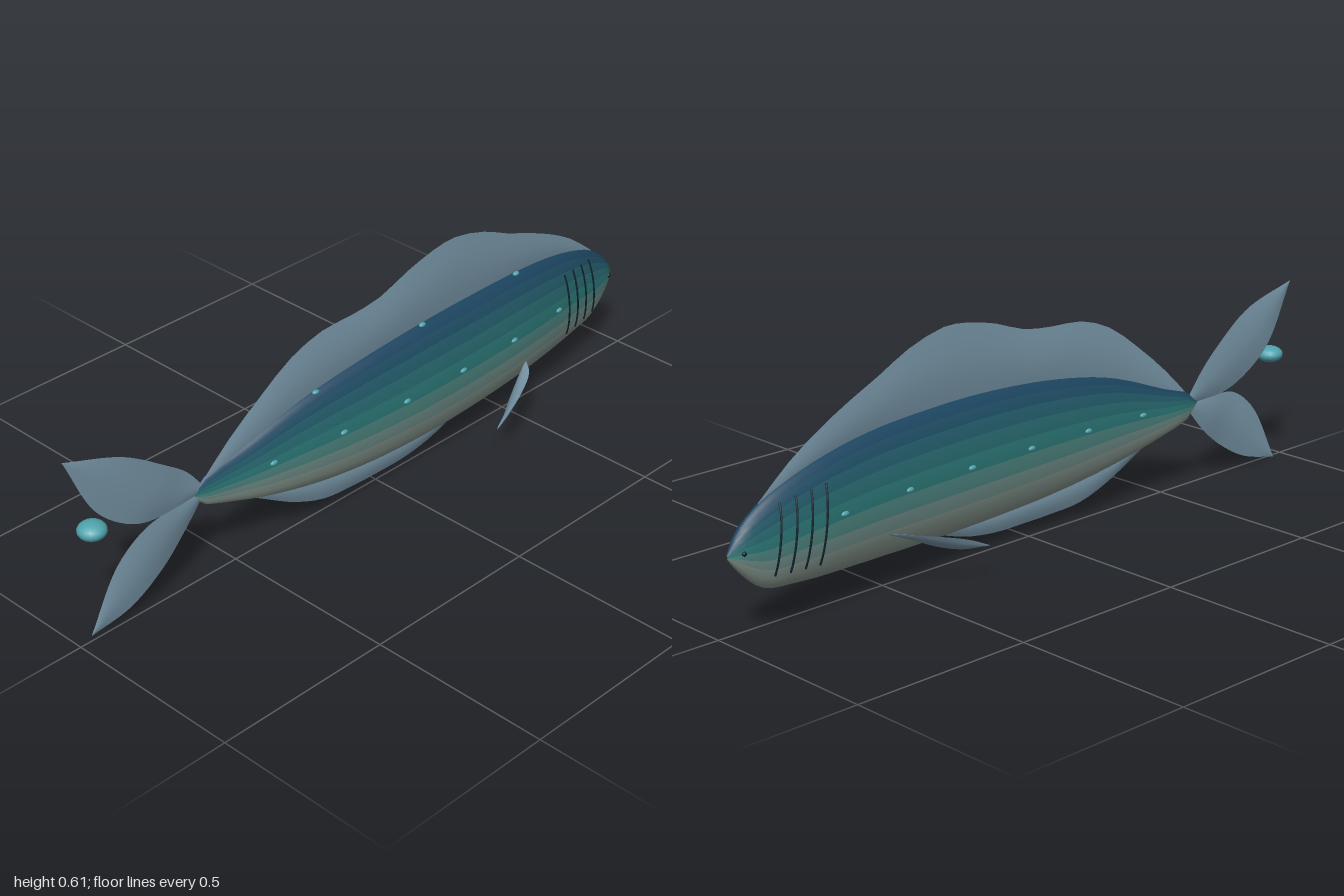
import * as THREE from 'three';
import { mergeGeometries } from 'three/addons/utils/BufferGeometryUtils.js';

const mat = (color, side = THREE.FrontSide) => new THREE.MeshStandardMaterial({ color, side });

// Smooth function of z from rows [z, value, value, ...]
function profile(rows) {
  const n = rows[0].length - 1;
  const spline = new THREE.CubicInterpolant(
    new Float32Array(rows.map((r) => r[0])), new Float32Array(rows.flatMap((r) => r.slice(1))), n);
  return (z) => Array.from(spline.evaluate(z));
}

// Body sections: z, half width, top, bottom
const section = profile([
  [-1, 0.003, 0.224, 0.216], [-0.97, 0.022, 0.268, 0.178], [-0.9, 0.037, 0.322, 0.118], [-0.8, 0.05, 0.364, 0.1],
  [-0.6, 0.064, 0.405, 0.087], [-0.3, 0.068, 0.422, 0.079], [-0.1, 0.066, 0.42, 0.082], [0.1, 0.057, 0.405, 0.094],
  [0.3, 0.042, 0.37, 0.122], [0.5, 0.021, 0.3, 0.172], [0.6, 0.009, 0.262, 0.212], [0.62, 0.001, 0.24, 0.236],
]);

// Sideways swimming bend of the spine
const bend = profile([
  [-1, -0.045], [-0.8, -0.03], [-0.5, -0.002], [-0.2, 0.013], [0, 0.016],
  [0.2, 0.012], [0.4, 0], [0.6, -0.018], [0.78, -0.004], [1, -0.018],
]);
const spineX = (z) => bend(z)[0];

// Point on the flank at a given z and height
function skin(z, y, side) {
  const [w, top, bottom] = section(z);
  const k = THREE.MathUtils.clamp((2 * y - top - bottom) / (top - bottom), -1, 1);
  return new THREE.Vector3(spineX(z) + side * w * Math.sqrt(1 - k * k), y, z);
}

// Grid surface from a function point(i, j)
function grid(nu, nv, point) {
  const pos = [], index = [];
  for (let i = 0; i <= nu; i++) for (let j = 0; j <= nv; j++) pos.push(...point(i, j));
  for (let i = 0; i < nu; i++) for (let j = 0; j < nv; j++) {
    const a = i * (nv + 1) + j, b = a + nv + 1;
    index.push(a, b, a + 1, b, b + 1, a + 1);
  }
  const geo = new THREE.BufferGeometry();
  geo.setAttribute('position', new THREE.Float32BufferAttribute(pos, 3));
  geo.setIndex(index);
  geo.computeVertexNormals();
  return geo;
}

// Thin lens-shaped blade between two edge curves
function blade(name, edgeA, edgeB, thickness, axis, material) {
  const a = new THREE.CatmullRomCurve3(edgeA), b = new THREE.CatmullRomCurve3(edgeB);
  const sheets = [1, -1].map((side) => grid(30, 8, (i, j) => {
    const u = i / 30, v = j / 8;
    const p = a.getPoint(u).lerp(b.getPoint(u), v);
    return p.addScaledVector(axis, side * thickness * Math.sin(Math.PI * v) * Math.sin(Math.PI * u) ** 0.5);
  }));
  const mesh = new THREE.Mesh(mergeGeometries(sheets), material);
  mesh.name = name;
  return mesh;
}

export function createModel() {
  const model = new THREE.Group();
  model.name = 'fish';
  const finMat = mat(0x7896a8, THREE.DoubleSide);
  const glowMat = mat(0x4fa3ad);
  const darkMat = mat(0x10202a);
  const xAxis = new THREE.Vector3(1, 0, 0);
  const V = (x, y, z) => new THREE.Vector3(x, y, z);

  // Body: one smooth skin, split lengthwise into bands from dark back to pale belly
  const sides = 24, rings = 48;
  const skinGeo = grid(rings, sides, (i, j) => {
    const z = -1 + 1.62 * (i / rings) ** 1.3;
    const [w, top, bottom] = section(z);
    const a = (j / sides) * Math.PI * 2;
    return [spineX(z) + w * Math.sin(a), (top + bottom) / 2 + ((top - bottom) / 2) * Math.cos(a), z];
  });
  const body = new THREE.Group();
  body.name = 'body';
  const back = new THREE.Color(0x1c4560), flank = new THREE.Color(0x2f7f7c), belly = new THREE.Color(0x8d9c94);
  const all = Array.from(skinGeo.index.array);
  for (let band = 0; band < sides / 2; band++) {
    const index = [];
    for (let i = 0; i < rings; i++) for (const j of [band, sides - 1 - band]) {
      const start = (i * sides + j) * 6;
      index.push(...all.slice(start, start + 6));
    }
    const geo = new THREE.BufferGeometry();
    geo.setAttribute('position', skinGeo.attributes.position);
    geo.setAttribute('normal', skinGeo.attributes.normal);
    geo.setIndex(index);
    const h = Math.cos(((band + 0.5) / (sides / 2)) * Math.PI);
    const color = h > 0 ? flank.clone().lerp(back, Math.min(1, h * 1.15)) : flank.clone().lerp(belly, Math.min(1, -h * 1.5));
    const mesh = new THREE.Mesh(geo, mat(color));
    mesh.name = 'bodyBand';
    body.add(mesh);
  }
  model.add(body);

  // Long fins along the back and belly, rooted inside the body
  const ridge = (name, outline, baseY) => {
    const outer = outline.map(([z, y]) => V(spineX(z), y, z));
    const inner = outline.map(([z]) => V(spineX(z), baseY(section(z)), z));
    model.add(blade(name, outer, inner, 0.009, xAxis, finMat));
  };
  ridge('dorsalFin', [
    [0.59, 0.26], [0.5, 0.35], [0.4, 0.435], [0.3, 0.505], [0.2, 0.54], [0.1, 0.545], [0, 0.556], [-0.1, 0.59],
    [-0.2, 0.612], [-0.28, 0.616], [-0.4, 0.585], [-0.5, 0.54], [-0.6, 0.5], [-0.7, 0.455], [-0.8, 0.4], [-0.9, 0.325],
  ], ([, top]) => top - 0.03);
  ridge('analFin', [
    [0.48, 0.18], [0.4, 0.135], [0.3, 0.08], [0.2, 0.045], [0.1, 0.037], [0, 0.035],
    [-0.1, 0.036], [-0.2, 0.05], [-0.3, 0.08], [-0.37, 0.1],
  ], ([, , bottom]) => bottom + 0.03);

  // Forked tail
  const lobe = (name, upper, lower) => {
    const edge = (pts) => pts.map(([z, y]) => V(spineX(z), y, z));
    model.add(blade(name, edge(upper), edge(lower), 0.007, xAxis, finMat));
  };
  lobe('upperTailLobe',
    [[0.575, 0.245], [0.63, 0.315], [0.71, 0.378], [0.835, 0.46], [1, 0.515]],
    [[0.575, 0.24], [0.7, 0.236], [0.81, 0.26], [0.915, 0.34], [1, 0.515]]);
  lobe('lowerTailLobe',
    [[0.575, 0.24], [0.7, 0.241], [0.79, 0.228], [0.87, 0.165], [0.955, 0.003]],
    [[0.575, 0.235], [0.65, 0.152], [0.73, 0.09], [0.835, 0.032], [0.955, 0.003]]);

  // Paired fins sweeping out and back
  const upperEdge = [[0.055, 0.16, -0.53], [0.1, 0.158, -0.49], [0.137, 0.145, -0.42], [0.158, 0.125, -0.35], [0.165, 0.098, -0.29]];
  const lowerEdge = [[0.055, 0.155, -0.52], [0.075, 0.135, -0.47], [0.1, 0.108, -0.41], [0.132, 0.094, -0.35], [0.165, 0.098, -0.29]];
  for (const s of [1, -1]) {
    const edge = (pts) => pts.map(([x, y, z]) => V(s * x, y, z));
    model.add(blade(s > 0 ? 'leftPectoralFin' : 'rightPectoralFin', edge(upperEdge), edge(lowerEdge),
      0.006, V(s * 0.68, -0.62, -0.4).normalize(), finMat));
  }

  const bead = (name, p, rx, ry, rz, material) => {
    const mesh = new THREE.Mesh(new THREE.SphereGeometry(1, 16, 12), material);
    mesh.name = name;
    mesh.position.copy(p);
    mesh.scale.set(rx, ry, rz);
    model.add(mesh);
  };

  // Gill slits, eyes and rows of light spots on both flanks
  for (const s of [1, -1]) {
    for (let k = 0; k < 4; k++) {
      const pts = [];
      for (let t = 0; t <= 8; t++) {
        const f = t / 8;
        pts.push(skin(-0.72 - 0.045 * k - 0.025 * f, 0.338 - 0.005 * k - (0.198 - 0.008 * k) * f, s));
      }
      const slit = new THREE.Mesh(new THREE.TubeGeometry(new THREE.CatmullRomCurve3(pts), 24, 0.003, 6), darkMat);
      slit.name = 'gillSlit';
      model.add(slit);
    }
    bead('eye', skin(-0.965, 0.225, s), 0.005, 0.006, 0.006, darkMat);
    for (let k = 0; k < 6; k++) {
      const y = 0.253 + 0.009 * Math.sin((k / 5) * Math.PI);
      bead('lightSpot', skin(0.392 - 0.2135 * k, y, s), 0.006, 0.007, 0.012, glowMat);
    }
  }

  // Light spots beside the dorsal fin
  for (const z of [0.235, -0.145, -0.53]) {
    bead('backSpot', V(spineX(z) + 0.012, section(z)[1] - 0.001, z), 0.007, 0.006, 0.011, glowMat);
  }

  // Lure floating behind the tail
  bead('lure', V(-0.002, 0.309, 0.94), 0.037, 0.023, 0.037, glowMat);
  return model;
}
